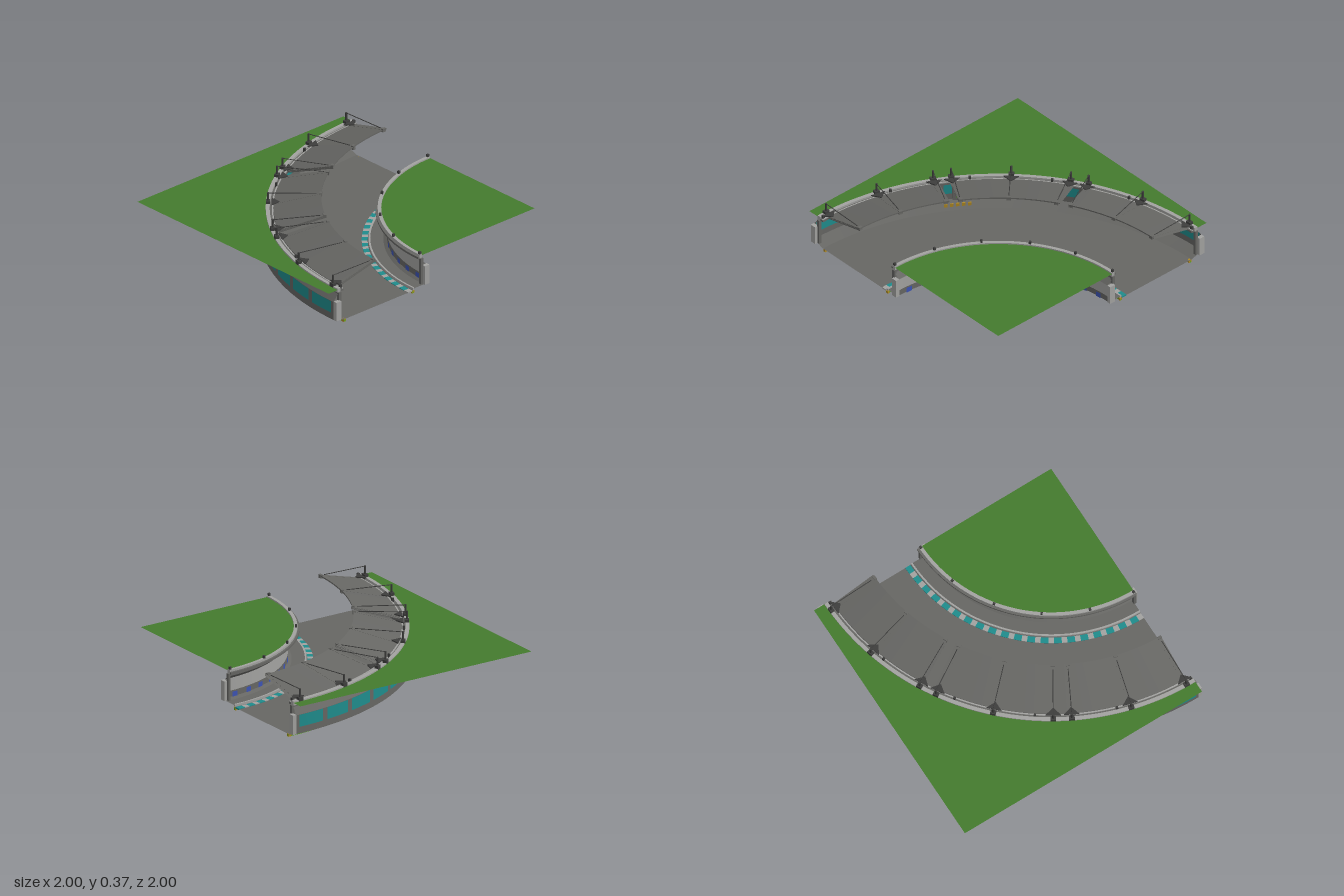
import * as THREE from 'three';
import { toCreasedNormals } from 'three/addons/utils/BufferGeometryUtils.js';

const RAD = Math.PI / 180;

export function createModel() {
  const mat = (name, color, side = THREE.DoubleSide) => {
    const m = new THREE.MeshStandardMaterial({ color, side });
    m.name = name;
    return m;
  };
  const concrete = mat('concrete', 0x666663);
  const paleMetal = mat('pale metal', 0xa2a2a0);
  const darkMetal = mat('dark metal', 0x3e3e3d);
  const grass = mat('grass green', 0x447b2e);
  const teal = mat('teal', 0x1f8c8c);
  const blue = mat('blue', 0x3c53b4);
  const lime = mat('lime', 0x52a81e);
  const amber = mat('amber', 0xb08a24);

  const model = new THREE.Group();
  model.name = 'curvedTrackSection';
  // Everything turns about one corner of the ground
  const bend = new THREE.Group();
  bend.name = 'bend';
  bend.position.set(0.97, 0, -0.97);
  model.add(bend);

  const add = (name, geo, material, parent = bend) => {
    const mesh = new THREE.Mesh(geo, material);
    mesh.name = name;
    parent.add(mesh);
    return mesh;
  };
  // Point on the bend: radius, height, angle in degrees
  const at = (r, y, a) => new THREE.Vector3(-r * Math.cos(a * RAD), y, r * Math.sin(a * RAD));
  // Sheet swept round the bend from [radius, height] points
  const sweep = (name, pts, material, a0 = 0, a1 = 90) => {
    const seg = Math.max(2, Math.round((a1 - a0) / 1.9));
    const geo = new THREE.LatheGeometry(pts.map(p => new THREE.Vector2(p[0], p[1])), seg,
      (a0 - 90) * RAD, (a1 - a0) * RAD);
    return add(name, toCreasedNormals(geo, 0.3), material);
  };
  // Solid curved slab
  const slab = (name, r0, r1, y0, y1, material, a0 = 0, a1 = 90) => {
    const s = new THREE.Shape();
    const b = Math.PI + a0 * RAD, e = Math.PI + a1 * RAD;
    s.absarc(0, 0, r1, b, e, false);
    s.absarc(0, 0, r0, e, b, true);
    const geo = new THREE.ExtrudeGeometry(s, {
      depth: y1 - y0, bevelEnabled: false, curveSegments: Math.max(2, Math.round((a1 - a0) / 1.9))
    });
    geo.rotateX(-Math.PI / 2).translate(0, y0, 0);
    return add(name, geo, material);
  };
  // Box whose x runs outwards and z runs along the bend
  const box = (name, r, y, a, sx, sy, sz, material) => {
    const m = add(name, new THREE.BoxGeometry(sx, sy, sz), material);
    m.position.copy(at(r, y, a));
    m.rotation.y = a * RAD + Math.PI;
    return m;
  };
  const rod = (name, p, q, radius, material) => {
    const m = add(name, new THREE.CylinderGeometry(radius, radius, p.distanceTo(q), 6), material);
    m.position.copy(p).lerp(q, 0.5);
    m.quaternion.setFromUnitVectors(new THREE.Vector3(0, 1, 0), q.clone().sub(p).normalize());
    return m;
  };

  // Ground: grass inside and outside the trench
  const ground = (name, draw) => {
    const s = new THREE.Shape();
    draw(s);
    const geo = new THREE.ShapeGeometry(s, 48).rotateX(-Math.PI / 2).translate(0, 0.27, 0);
    add(name, geo, grass);
  };
  ground('innerGround', s => {
    s.moveTo(0, 0);
    s.lineTo(-1.09, 0);
    s.absarc(0, 0, 1.09, Math.PI, 1.5 * Math.PI, false);
    s.lineTo(0, 0);
  });
  ground('outerGround', s => {
    s.moveTo(-1.97, 0);
    s.lineTo(-1.97, -1.97);
    s.lineTo(0, -1.97);
    s.lineTo(0, -1.87);
    s.absarc(0, 0, 1.87, 1.5 * Math.PI, Math.PI, true);
    s.lineTo(-1.97, 0);
  });

  // Road and walls
  sweep('road', [[1.21, 0.02], [1.83, 0.02]], concrete);
  sweep('outerWall', [[1.83, 0.02], [1.925, 0.05], [1.925, 0.19], [1.88, 0.24], [1.88, 0.26]], concrete);
  sweep('innerLedge', [[1.17, 0.02], [1.15, 0.035], [1.06, 0.035], [1.035, 0.05], [1.035, 0.095]], concrete);
  sweep('innerWallBand', [[1.035, 0.095], [1.035, 0.19]], paleMetal);
  sweep('innerWallTop', [[1.035, 0.19], [1.08, 0.225], [1.08, 0.26]], concrete);
  slab('ledgeTrim', 1.152, 1.165, 0.025, 0.042, paleMetal);

  // Rails along both lips of the trench
  slab('outerRail', 1.857, 1.885, 0.25, 0.28, paleMetal);
  slab('outerRailStep', 1.828, 1.857, 0.25, 0.265, concrete);
  slab('outerRailTrim', 1.832, 1.842, 0.265, 0.272, paleMetal);
  slab('innerRail', 1.075, 1.1, 0.25, 0.28, paleMetal);
  slab('innerRailStep', 1.1, 1.115, 0.25, 0.265, concrete);
  for (let i = 0; i < 6; i++) {
    const a = Math.min(89.5, Math.max(0.5, i * 18));
    box('innerRailPost', 1.09, 0.285, a, 0.016, 0.03, 0.016, darkMetal);
    box('outerRailPost', 1.845, 0.28, a, 0.016, 0.03, 0.016, darkMetal);
  }

  // Kerb of alternating blocks, visible from both sides
  const kerbs = 20, step = 90 / kerbs;
  for (let i = 0; i < kerbs; i++) {
    slab('tealKerb', 1.17, 1.212, 0.015, 0.025, teal, i * step, (i + 0.58) * step);
    slab('paleKerb', 1.17, 1.212, 0.015, 0.025, paleMetal, (i + 0.58) * step, (i + 1) * step);
  }

  // Glowing strips under the road edges
  for (const r of [1.155, 1.81]) {
    slab('limeStrip', r, r + 0.012, 0, 0.018, lime);
    for (const a of [0, 89.3]) slab('amberMarker', r - 0.004, r + 0.016, 0, 0.02, amber, a, a + 0.7);
  }

  // Windows show on both faces of the walls
  for (let i = 0; i < 12; i++) {
    const a = 3.75 + i * 7.5;
    for (const r of [1.922, 1.928])
      sweep('outerWindow', [[r, 0.1], [r, 0.19]], teal, a - 3.1, a + 3.1);
    const b = 5 + i * 7.27;
    for (const r of [1.032, 1.038])
      sweep('innerWindow', [[r, 0.045], [r, 0.085]], blue, b - 1.3, b + 1.3);
  }

  // Joining flanges past both ends of the walls
  for (const [a, shift] of [[0, [0, -0.015]], [90, [0.015, 0]]]) {
    for (const r of [1.055, 1.9]) {
      const f = box('endFlange', r, 0.12, a, 0.045, 0.145, 0.03, paleMetal);
      f.position.x += shift[0];
      f.position.z += shift[1];
      box('endPost', r + (r < 1.5 ? 0.03 : -0.03), 0.15, a, 0.025, 0.2, 0.02, concrete);
    }
  }

  // Cabinet on the outer wall with lamps and a floor marking
  box('cabinet', 1.9, 0.145, 55, 0.04, 0.15, 0.17, concrete);
  for (const [da, y] of [[-1.5, 0.12], [1.5, 0.185], [1.5, 0.11]])
    box('cabinetLamp', 1.877, y, 55 + da, 0.008, 0.03, 0.025, lime);
  for (let i = 0; i < 5; i++)
    box('floorMarking', 1.86, 0.045, 54 + i * 1.3, 0.008, 0.025, 0.025, amber);

  // Three canopies, each hung from three masts
  for (let i = 0; i < 3; i++) {
    const start = 1 + i * 30;
    sweep('canopy', [[1.835, 0.265], [1.83, 0.275], [1.495, 0.362], [1.495, 0.352], [1.835, 0.265]],
      concrete, start, start + 27.5);
    for (const a of [2, 15, 28].map(d => d + i * 30)) {
      const rib = box('canopyRib', 1.66, 0.31, a, 0.35, 0.02, 0.025, concrete);
      rib.rotation.z = -Math.atan2(0.087, 0.335);
      rib.rotation.order = 'YXZ';
      box('ribTip', 1.5, 0.355, a, 0.02, 0.025, 0.03, concrete);
      box('mastFoot', 1.87, 0.275, a, 0.03, 0.05, 0.04, darkMetal);
      rod('mast', at(1.87, 0.28, a), at(1.87, 0.36, a), 0.008, darkMetal);
      rod('stay', at(1.87, 0.357, a), at(1.53, 0.36, a), 0.003, darkMetal);
      // Triangular bracket tying the mast to the canopy
      const s = new THREE.Shape();
      s.moveTo(1.845, -0.055);
      s.lineTo(1.845, 0.055);
      s.lineTo(1.79, 0);
      const g = new THREE.ExtrudeGeometry(s, { depth: 0.008, bevelEnabled: false });
      g.rotateX(-Math.PI / 2).translate(0, 0.285, 0);
      add('mastBracket', g, darkMetal).rotation.y = a * RAD + Math.PI;
    }
  }
  return model;
}
